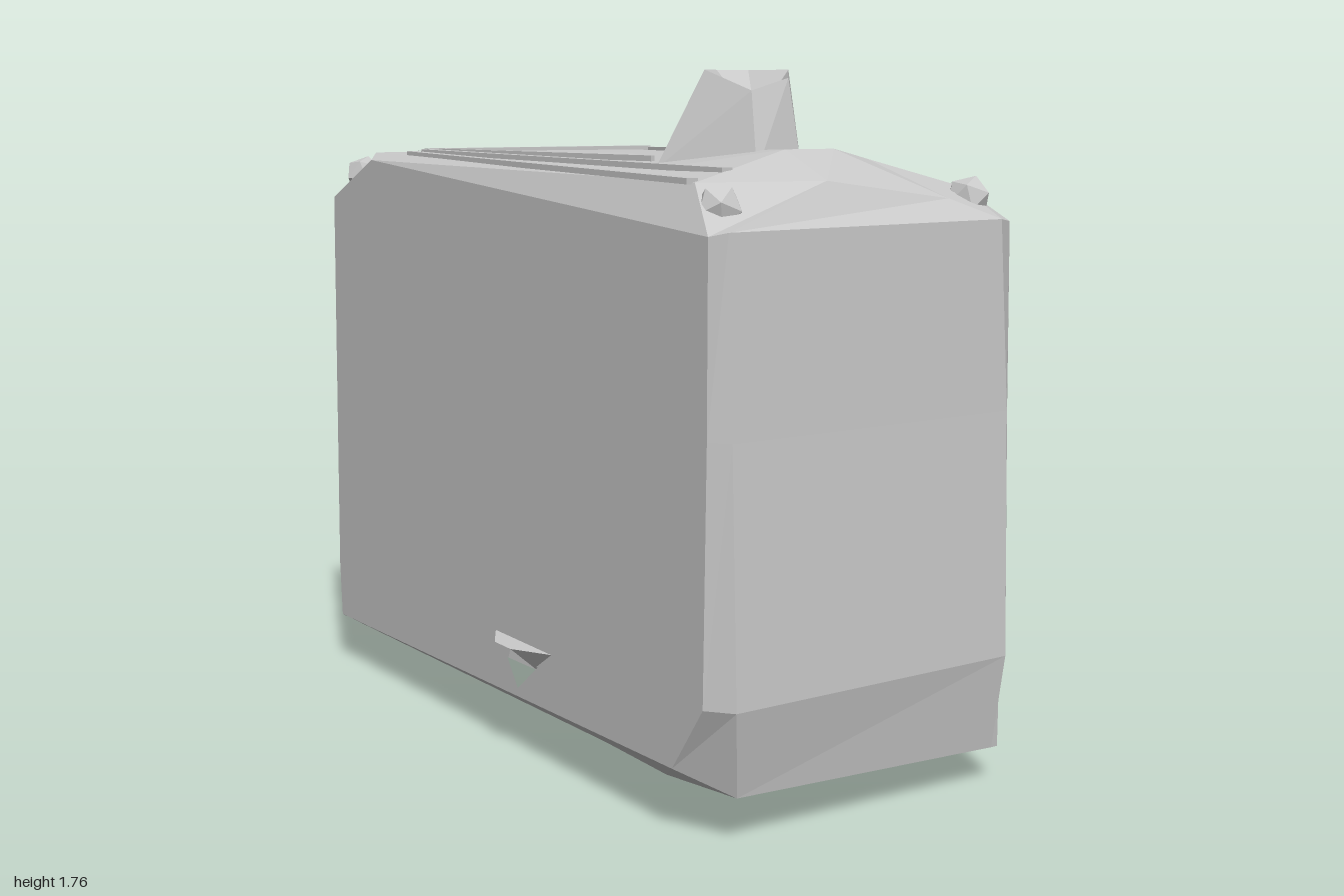
import * as THREE from 'three';

const metal = new THREE.MeshStandardMaterial({ color: 0xc9c9c9 });
metal.name = 'grey metal';

// Turns triangles into a faceted geometry
function faceted(points) {
  const g = new THREE.BufferGeometry().setFromPoints(points);
  g.computeVertexNormals();
  return g;
}

const toVectors = (pts) => pts.map((p) => new THREE.Vector3(...p));

// Eight-sided ring, counter-clockwise from above: each half runs
// front, side front, side back, back
const ring = ({ left, right }) => toVectors([...left, ...[...right].reverse()]);

// Joins rings from bottom to top and closes both ends; skip(level, side) leaves a gap
function loft(rings, skip = () => false) {
  const tris = [];
  for (let k = 0; k + 1 < rings.length; k++) {
    const a = rings[k], b = rings[k + 1], n = a.length;
    for (let i = 0; i < n; i++) {
      if (skip(k, i)) continue;
      const j = (i + 1) % n;
      tris.push(a[i], a[j], b[j], a[i], b[j], b[i]);
    }
  }
  [rings[0], rings[rings.length - 1]].forEach((r, end) => {
    const mid = r.reduce((m, p) => m.add(p), new THREE.Vector3()).divideScalar(r.length);
    r.forEach((p, i) => {
      const q = r[(i + 1) % r.length];
      tris.push(mid, ...(end ? [p, q] : [q, p]));
    });
  });
  return faceted(tris);
}

// Flat side wall with a small opening near the bottom
function sideWall(outline, hole, side) {
  const toShape = (pts) => pts.map(([z, y]) => new THREE.Vector2(-side * z, y));
  const shape = new THREE.Shape(toShape(outline));
  shape.holes.push(new THREE.Path(toShape(hole)));
  const g = new THREE.ShapeGeometry(shape);
  g.rotateY(side * Math.PI / 2);
  g.translate(side * 0.45, 0, 0);
  return g;
}

export function createModel() {
  const model = new THREE.Group();
  const add = (name, geometry) => {
    const mesh = new THREE.Mesh(geometry, metal);
    mesh.name = name;
    model.add(mesh);
    return mesh;
  };

  // Tank shell: keel, four wall levels, shoulder and roof
  const keel = ring({
    left: [[0, 0, 0.53], [0.02, 0.01, 0.48], [-0.2, 0.01, 0.2], [-0.21, 0.01, 0.17]],
    right: [[-0.2, 0.01, 0.52], [-0.23, 0.01, 0.48], [-0.23, 0.015, 0.2], [-0.22, 0.01, 0.17]],
  });
  const walls = [
    {
      left: [[0.42, 0.095, 0.96], [0.45, 0.09, 0.95], [0.45, 0.09, -0.945], [0.44, 0.09, -0.95]],
      right: [[-0.36, 0.12, 0.95], [-0.45, 0.17, 0.82], [-0.45, 0.14, -0.93], [-0.38, 0.11, -0.97]],
    },
    {
      left: [[0.42, 0.34, 1], [0.45, 0.34, 0.95], [0.45, 0.3, -0.935], [0.42, 0.3, -0.965]],
      right: [[-0.4, 0.34, 1], [-0.45, 0.34, 0.94], [-0.45, 0.3, -0.94], [-0.4, 0.3, -1]],
    },
    {
      left: [[0.41, 0.95, 0.99], [0.45, 0.95, 0.95], [0.45, 0.95, -0.9], [0.43, 0.95, -0.945]],
      right: [[-0.41, 0.95, 0.99], [-0.45, 0.95, 0.95], [-0.45, 1.4, -0.92], [-0.41, 0.95, -0.955]],
    },
    {
      left: [[0.38, 1.41, 0.985], [0.45, 1.4, 0.94], [0.45, 1.46, -0.8], [0.42, 1.42, -0.955]],
      right: [[-0.42, 1.41, 0.985], [-0.45, 1.4, 0.95], [-0.45, 1.515, -0.67], [-0.35, 1.43, -0.9]],
    },
  ].map(ring);
  const top = [
    {
      left: [[0.26, 1.46, 0.93], [0.4, 1.48, 0.82], [0.38, 1.525, -0.76], [0.05, 1.495, -0.85]],
      right: [[-0.1, 1.51, 0.92], [-0.4, 1.51, 0.83], [-0.42, 1.535, -0.7], [-0.02, 1.495, -0.85]],
    },
    {
      left: [[0.05, 1.575, 0.76], [0.33, 1.54, 0.55], [0.34, 1.535, -0.5], [0.15, 1.535, -0.77]],
      right: [[-0.08, 1.575, 0.74], [-0.3, 1.53, 0.55], [-0.34, 1.54, -0.55], [-0.25, 1.535, -0.77]],
    },
  ].map(ring);
  add('tankBody', loft([keel, ...walls, ...top], (k, i) => k > 0 && k < 4 && (i === 1 || i === 5)));

  // Side walls with drain openings
  const edge = (i) => walls.map((r) => [r[i].z, r[i].y]);
  add('leftWall', sideWall([...edge(1), ...edge(2).reverse()], [[0.21, 0.24], [0.03, 0.24], [0.12, 0.14]], 1));
  add('rightWall', sideWall([...edge(6), ...edge(5).reverse()], [[0.22, 0.26], [0.06, 0.26], [0.12, 0.18]], -1));

  // Drain fittings above the openings, as wedge-shaped blocks
  const block = (near, far, x0, x1) => {
    const section = (pts, x) => toVectors(pts.map(([z, y]) => [x, y, z]));
    return loft([section(near, x0), section(far, x1)]);
  };
  add('leftDrainFitting', block(
    [[0.28, 0.27], [0.2, 0.245], [0.04, 0.245], [0.0, 0.34], [0.28, 0.345]],
    [[0.23, 0.29], [0.18, 0.27], [0.06, 0.27], [0.04, 0.32], [0.2, 0.33]], 0.44, 0.495));
  add('rightDrainFitting', block(
    [[0.3, 0.31], [0.21, 0.25], [0.07, 0.25], [0.0, 0.31]].reverse(),
    [[0.17, 0.305], [0.16, 0.28], [0.11, 0.28], [0.09, 0.305]].reverse(), -0.445, -0.5));

  // Corner lugs
  for (const x of [-1, 1]) for (const z of [-1, 1]) {
    const lug = add('cornerLug', new THREE.IcosahedronGeometry(0.056, 0));
    lug.position.set(x * 0.37, z > 0 ? 1.455 : 1.465, z * 0.88);
    lug.rotation.set(0.3 * z, 0.5 * x, 0.2);
  }

  // Filler neck: wide skewed foot, uneven rim and sunken top
  const foot = [[-0.1, 1.52, 0.66], [0.05, 1.52, 0.64], [0.13, 1.52, 0.52], [0.06, 1.52, 0.39], [-0.07, 1.52, 0.36], [-0.22, 1.52, 0.41]];
  const rim = [[-0.08, 1.71, 0.61], [0.03, 1.74, 0.61], [0.1, 1.76, 0.52], [0.06, 1.76, 0.41], [-0.03, 1.76, 0.4], [-0.11, 1.76, 0.46]];
  const well = rim.map(([x, , z]) => [x * 0.5, 1.7, 0.52 + (z - 0.52) * 0.5]);
  add('fillerNeck', loft([foot, rim, well].map(toVectors)));

  // Raised seams framing the roof panel
  const seam = (a, b, w) => {
    const [p, q] = toVectors([a, b]);
    const m = add('roofSeam', new THREE.BoxGeometry(w, 0.014, p.distanceTo(q)));
    m.position.copy(p).add(q).multiplyScalar(0.5);
    m.lookAt(q);
  };
  seam([-0.36, 1.543, -0.51], [0.37, 1.54, -0.49], 0.02);
  seam([0.37, 1.536, -0.5], [0.26, 1.552, 0.42], 0.012);
  seam([-0.33, 1.543, -0.48], [-0.22, 1.547, 0.4], 0.012);
  seam([-0.36, 1.541, -0.51], [-0.29, 1.533, 0.8], 0.03);
  seam([-0.4, 1.536, -0.52], [-0.4, 1.513, 0.82], 0.03);

  return model;
}
